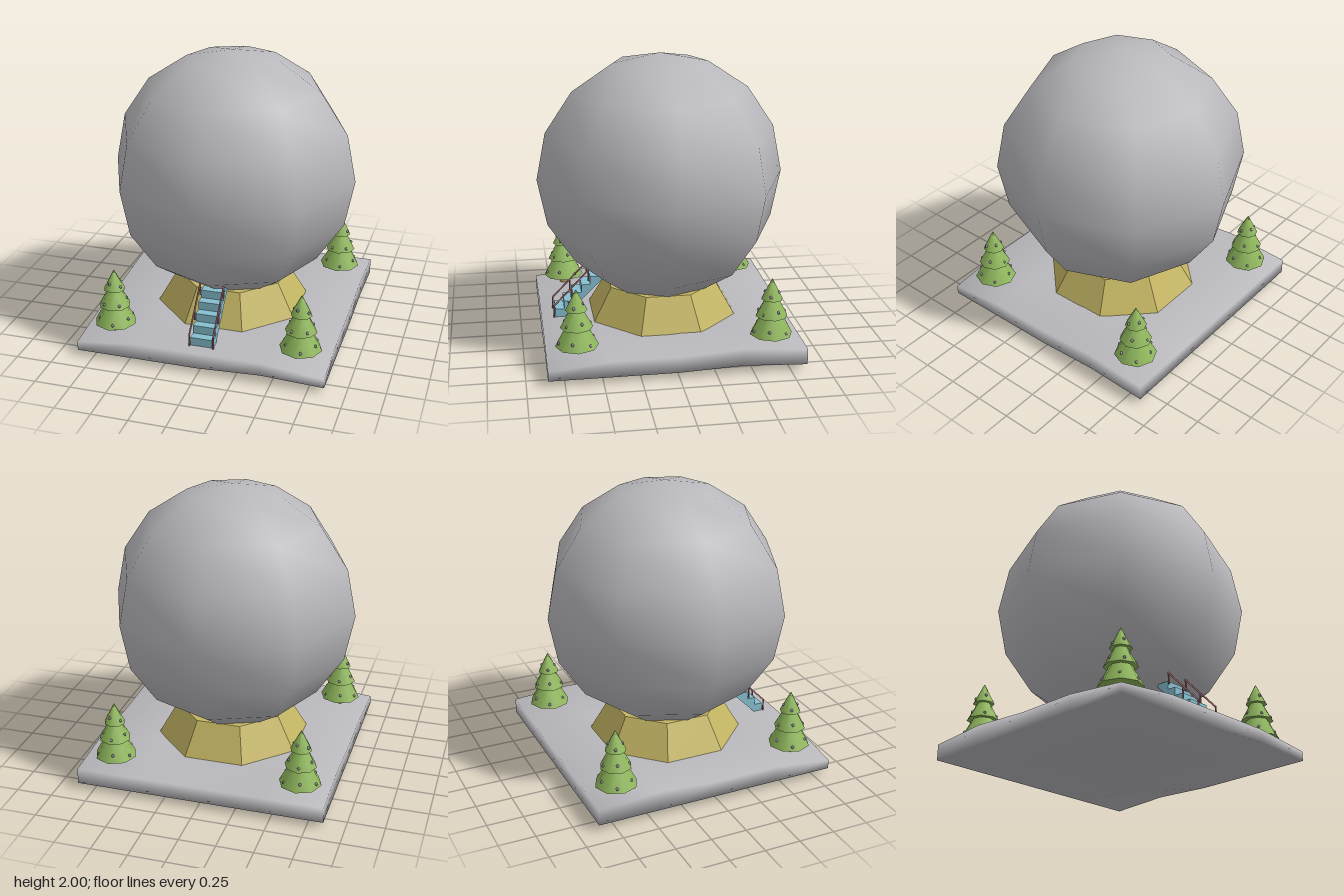
import * as THREE from 'three';
import { mergeVertices } from 'three/addons/utils/BufferGeometryUtils.js';

const mat = (name, color, extra = {}) => {
  const m = new THREE.MeshStandardMaterial({ color, ...extra });
  m.name = name;
  return m;
};

export function createModel() {
  const grey = mat('stoneGrey', 0xb9b9bd);
  const yellow = mat('pedestalYellow', 0xc4b563, { flatShading: true });
  const blue = mat('stairBlue', 0x86bfd0);
  const red = mat('railRed', 0xb5767c);
  const green = mat('leafGreen', 0x8fb75c);
  const brown = mat('trunkBrown', 0xb09a4e);
  const silver = mat('baubleGrey', 0x8c8796);

  const model = new THREE.Group();
  model.name = 'sphereBuilding';
  const add = (parent, name, geo, material, x = 0, y = 0, z = 0) => {
    const mesh = new THREE.Mesh(geo, material);
    mesh.name = name;
    mesh.position.set(x, y, z);
    parent.add(mesh);
    return mesh;
  };

  // Uneven, softly shaded ground slab
  let slab = new THREE.BoxGeometry(1.72, 0.11, 1.72, 4, 1, 4);
  slab.translate(0, 0.095, 0);
  slab.deleteAttribute('normal');
  slab.deleteAttribute('uv');
  slab = mergeVertices(slab);
  const p = slab.attributes.position;
  const near = (a, b) => Math.abs(a - b) < 0.01;
  for (let i = 0; i < p.count; i++) {
    const x = p.getX(i), y = p.getY(i), z = p.getZ(i);
    const side = near(Math.abs(x), 0.86);
    if (y > 0.1) {
      if (side && near(z, 0.86)) p.setY(i, 0.105);
      if (side && near(z, -0.43)) p.setY(i, 0.178);
    } else {
      if (near(x, 0.43) && near(z, -0.43)) p.setY(i, 0);
      if (near(x, 0.43) && near(z, 0.86)) p.setY(i, 0.06);
      if (near(x, 0.86) && near(z, -0.43)) p.setY(i, 0.06);
    }
  }
  slab.computeVertexNormals();
  add(model, 'groundSlab', slab, grey);

  // Eight-sided pedestal and the big sphere
  const pedestal = new THREE.CylinderGeometry(0.402, 0.544, 0.24, 8);
  pedestal.rotateY(Math.PI / 8);
  add(model, 'pedestal', pedestal, yellow, 0, 0.26, 0);
  add(model, 'sphere', new THREE.SphereGeometry(0.86, 8, 8), grey, 0, 1.14, 0);

  // Stairs: sawtooth side profile, drawn with z along the shape's x
  const stairs = new THREE.Group();
  stairs.name = 'stairs';
  model.add(stairs);
  const steps = 5, run = 0.062, rise = 0.058, z0 = 0.76, y0 = 0.15;
  const profile = new THREE.Shape();
  profile.moveTo(z0, y0);
  for (let i = 0; i < steps; i++) {
    profile.lineTo(z0 - i * run, y0 + (i + 1) * rise);
    profile.lineTo(z0 - (i + 1) * run, y0 + (i + 1) * rise);
  }
  profile.lineTo(0.42, 0.44);
  profile.lineTo(0.42, 0.425);
  profile.lineTo(0.695, 0.15);
  const flight = new THREE.ExtrudeGeometry(profile, { depth: 0.16, bevelEnabled: false });
  flight.rotateY(-Math.PI / 2);
  add(stairs, 'flight', flight, blue, 0.08, 0, 0);

  // Handrails with posts on both sides
  const bar = (name, x, a, b) => {
    const path = new THREE.LineCurve3(new THREE.Vector3(x, ...a), new THREE.Vector3(x, ...b));
    add(stairs, name, new THREE.TubeGeometry(path, 1, 0.006, 6), red);
  };
  for (const x of [-0.083, 0.083]) {
    bar('handrail', x, [0.235, 0.77], [0.495, 0.52]);
    bar('railPost', x, [0.15, 0.77], [0.238, 0.77]);
    bar('railPost', x, [0.28, 0.645], [0.365, 0.645]);
    bar('railPost', x, [0.41, 0.525], [0.49, 0.525]);
  }

  // Trees: three octagonal tiers [y0, y1, bottom radius, top radius] with baubles
  const tiers = [[0.19, 0.33, 0.145, 0.07], [0.32, 0.45, 0.109, 0.04], [0.44, 0.58, 0.073, 0.003]];
  const bauble = new THREE.SphereGeometry(0.011, 6, 5);
  for (const sx of [-1, 1]) for (const sz of [-1, 1]) {
    const tree = new THREE.Group();
    tree.name = 'tree';
    tree.position.set(sx * 0.655, 0, sz * 0.655);
    model.add(tree);
    add(tree, 'trunk', new THREE.CylinderGeometry(0.028, 0.028, 0.08, 8), brown, 0, 0.16, 0);
    tiers.forEach(([a, b, r0, r1], t) => {
      add(tree, 'foliageTier', new THREE.CylinderGeometry(r1, r0, b - a, 8), green, 0, (a + b) / 2, 0);
      const n = 6 - t;
      for (let i = 0; i < n; i++) {
        const ang = (i / n) * Math.PI * 2 + t * 0.5 + 0.2;
        const f = 0.2 + 0.15 * (i % 2);
        const r = (r0 + (r1 - r0) * f) * 0.95;
        add(tree, 'bauble', bauble, silver, Math.sin(ang) * r, a + (b - a) * f, Math.cos(ang) * r);
      }
    });
  }
  return model;
}
